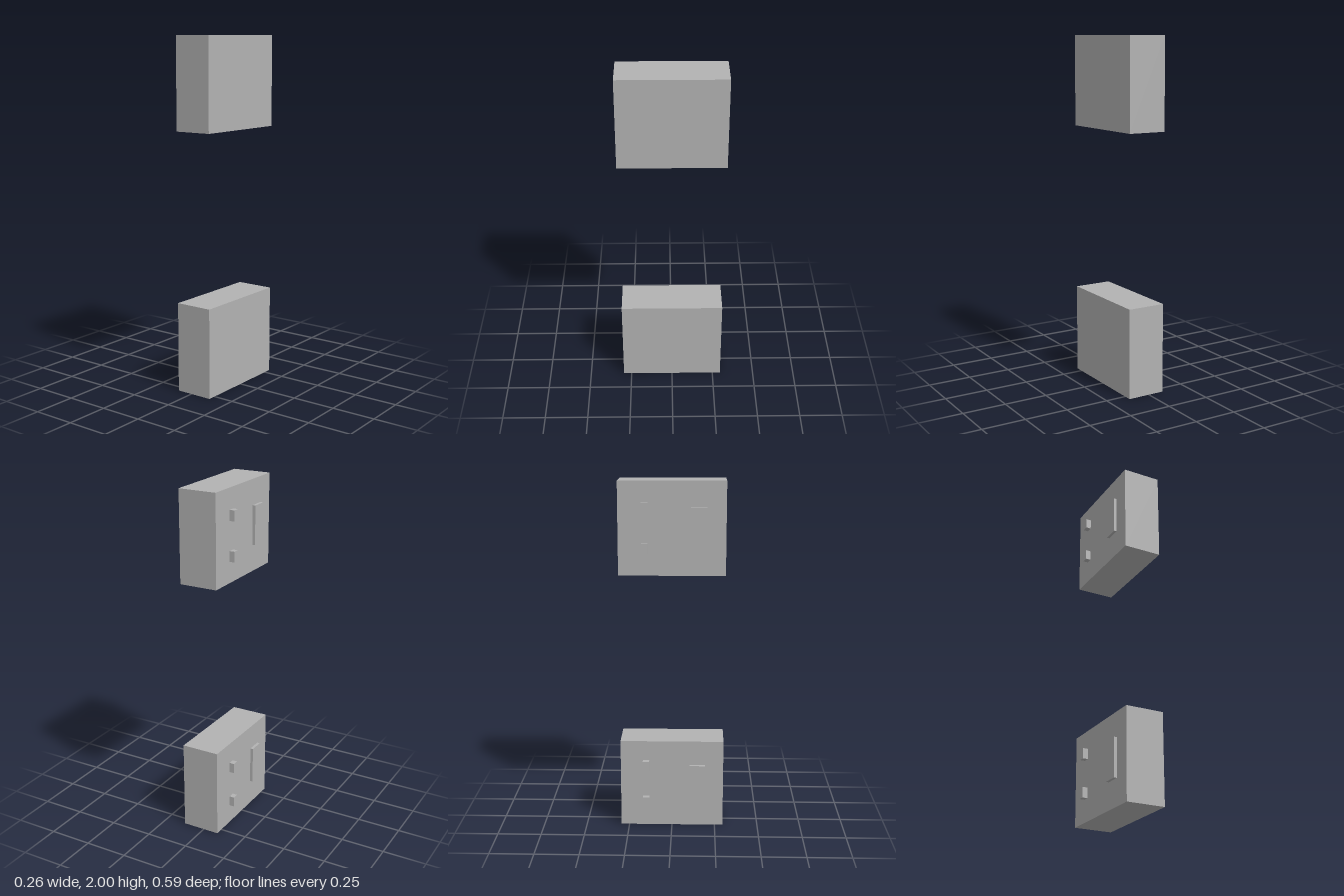
import * as THREE from 'three';

export function createModel() {
  const model = new THREE.Group();
  model.name = 'cabinetPair';
  const grey = new THREE.MeshStandardMaterial({ color: 0xb2b2b2 });
  grey.name = 'grey';

  // Box spanning the given [min, max] ranges
  function addBox(parent, name, [x0, x1], [y0, y1], [z0, z1]) {
    const mesh = new THREE.Mesh(new THREE.BoxGeometry(x1 - x0, y1 - y0, z1 - z0), grey);
    mesh.position.set((x0 + x1) / 2, (y0 + y1) / 2, (z0 + z1) / 2);
    mesh.name = name;
    parent.add(mesh);
  }

  // Two identical wall cabinets, one high above the other
  for (const [name, y] of [['lowerCabinet', 0], ['upperCabinet', 1.483]]) {
    const cabinet = new THREE.Group();
    cabinet.name = name;
    cabinet.position.y = y;
    addBox(cabinet, 'body', [-0.092, 0.129], [0, 0.517], [-0.297, 0.297]);
    // Raised plate and the two small blocks standing just off the same face
    addBox(cabinet, 'plate', [-0.109, -0.092], [0.151, 0.373], [0.102, 0.191]);
    addBox(cabinet, 'lowerBlock', [-0.13, -0.101], [0.124, 0.183], [-0.168, -0.131]);
    addBox(cabinet, 'upperBlock', [-0.13, -0.101], [0.345, 0.404], [-0.168, -0.131]);
    model.add(cabinet);
  }
  return model;
}
